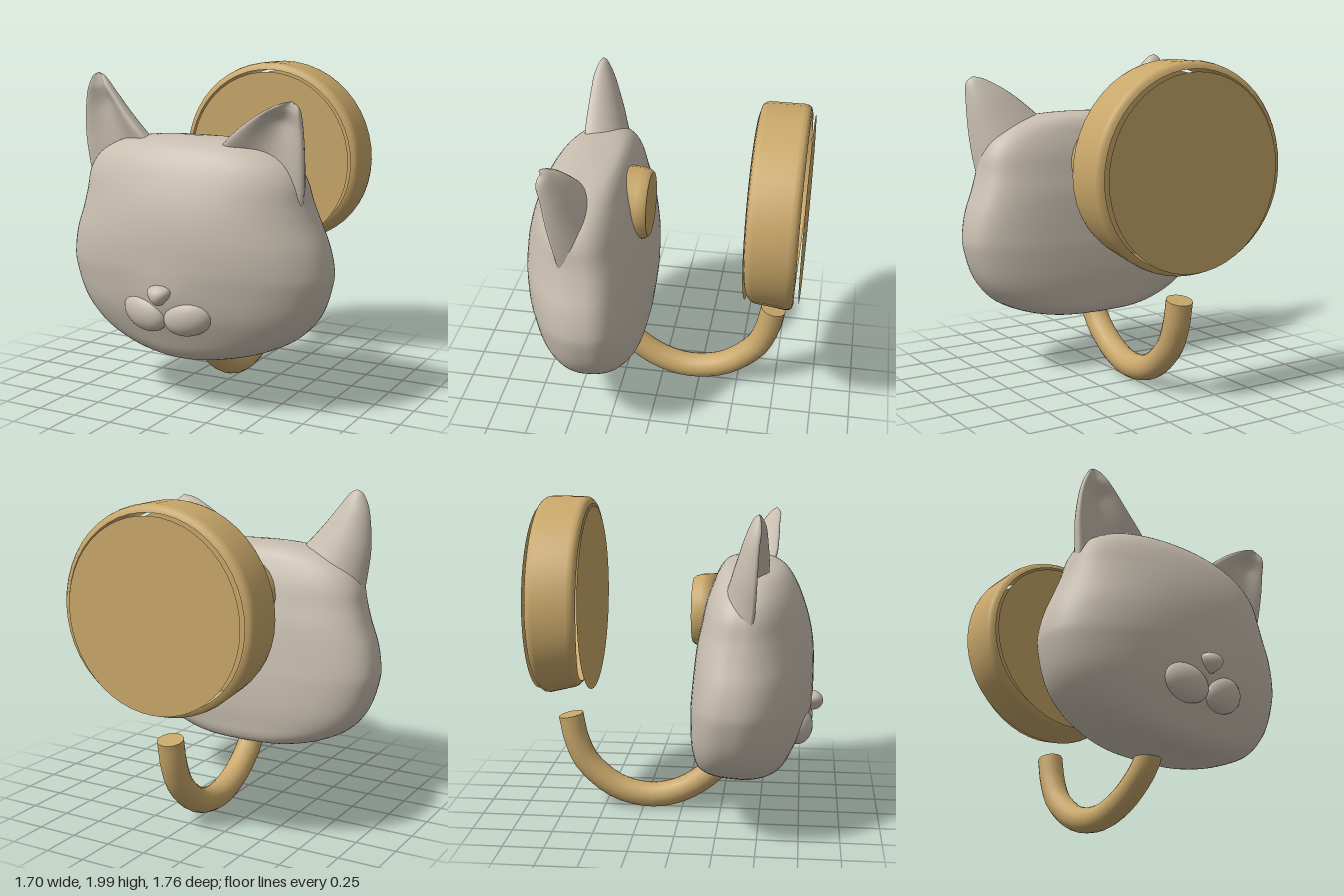
import * as THREE from 'three';

const fur = new THREE.MeshStandardMaterial({ color: 0xc8beb0 });
fur.name = 'warm grey';
const gold = new THREE.MeshStandardMaterial({ color: 0xc8a76a, side: THREE.DoubleSide });
gold.name = 'gold';

const V = (x, y, z) => new THREE.Vector3(x, y, z);
const curve = (pts) => new THREE.CatmullRomCurve3(pts.map((p) => V(...p)), false, 'catmullrom', 0.5);

function add(group, name, geometry, material, x = 0, y = 0, z = 0) {
  const mesh = new THREE.Mesh(geometry, material);
  mesh.name = name;
  mesh.position.set(x, y, z);
  group.add(mesh);
  return mesh;
}

// Smooth skin over closed rings; point(t, a) gives the surface position
function loft(rows, cols, point) {
  const pos = [], index = [];
  for (let r = 0; r <= rows; r++) {
    for (let c = 0; c < cols; c++) pos.push(...point(r / rows, (c / cols) * Math.PI * 2).toArray());
  }
  for (let r = 0; r < rows; r++) {
    for (let c = 0; c < cols; c++) {
      const a = r * cols + c, b = r * cols + ((c + 1) % cols);
      index.push(a, a + cols, b, b, a + cols, b + cols);
    }
  }
  const g = new THREE.BufferGeometry();
  g.setAttribute('position', new THREE.Float32BufferAttribute(pos, 3));
  g.setIndex(index);
  g.computeVertexNormals();
  return g;
}

// Head: horizontal sections [y, half width, front z, back z, z of widest point]
function headGeometry() {
  const s = [
    [0.31, 0, 0.42, 0.42, 0.42], [0.313, 0.22, 0.56, 0.22, 0.4],
    [0.33, 0.36, 0.61, 0.13, 0.38], [0.38, 0.52, 0.66, 0.1, 0.37],
    [0.47, 0.67, 0.705, 0.09, 0.37], [0.62, 0.785, 0.765, 0.078, 0.37],
    [0.8, 0.843, 0.8, 0.08, 0.37], [0.9, 0.847, 0.815, 0.088, 0.37],
    [1.03, 0.82, 0.82, 0.1, 0.38], [1.16, 0.77, 0.81, 0.115, 0.39],
    [1.28, 0.73, 0.785, 0.14, 0.41], [1.4, 0.7, 0.745, 0.165, 0.43],
    [1.5, 0.63, 0.7, 0.2, 0.44], [1.58, 0.49, 0.64, 0.24, 0.45],
    [1.62, 0.3, 0.56, 0.3, 0.45], [1.635, 0, 0.45, 0.45, 0.45],
  ];
  const size = curve(s.map((r) => [r[1], r[0], r[2]]));
  const depth = curve(s.map((r) => [r[3], r[4], 0]));
  return loft(60, 72, (t, a) => {
    const { x: w, y: h, z: front } = size.getPoint(t);
    const { x: back, y: mid } = depth.getPoint(t);
    const c = Math.cos(a), sn = Math.sin(a);
    const e = sn >= 0 ? 1 : 2 / 3; // round face, flatter back
    const x = w * Math.sign(c) * Math.abs(c) ** e;
    let z = sn >= 0 ? mid + (front - mid) * sn : mid - (mid - back) * Math.abs(sn) ** e;
    // soft swelling around the muzzle
    if (sn > 0) z += 0.025 * Math.exp(-((x / 0.2) ** 2) - ((h - 0.72) / 0.15) ** 2);
    // underside rises slightly towards the back
    const y = h + (0.55 - z) * 0.09 * (1 - THREE.MathUtils.smoothstep(h, 0.31, 0.6));
    return V(x, y, z);
  });
}

// Ear: crescent sections between two edge curves, hollow in front, full behind
function earGeometry(minusEdge, plusEdge, tip) {
  const A = curve([...minusEdge, tip]), B = curve([...plusEdge, tip]);
  return loft(32, 40, (t, a) => {
    const u = 1 - (1 - t) ** 1.4;
    const p = A.getPoint(u), q = B.getPoint(u);
    const half = q.clone().sub(p).multiplyScalar(0.5);
    const mid = p.add(q).multiplyScalar(0.5);
    const width = half.length();
    const n = V(-half.z, 0, half.x).normalize();
    const sn = Math.sin(a);
    const off = sn >= 0
      ? Math.min(0.06, width * 0.7) * sn - Math.min(0.1, width * 0.75) * sn ** 3
      : Math.min(0.21, width * 0.8) * sn;
    return mid.addScaledVector(half, Math.cos(a)).addScaledVector(n, off);
  });
}

export function createModel() {
  const model = new THREE.Group();
  model.name = 'catHeadHook';

  add(model, 'head', headGeometry(), fur);
  add(model, 'rightEar', earGeometry(
    [[-0.69, 1.25, 0.44], [-0.715, 1.45, 0.46], [-0.73, 1.63, 0.47], [-0.71, 1.83, 0.48], [-0.665, 1.95, 0.49]],
    [[-0.15, 1.48, 0.5], [-0.28, 1.62, 0.53], [-0.39, 1.74, 0.53], [-0.49, 1.86, 0.52], [-0.57, 1.955, 0.5]],
    [-0.62, 1.983, 0.49]), fur);
  add(model, 'leftEar', earGeometry(
    [[0.13, 1.48, 0.5], [0.27, 1.62, 0.56], [0.38, 1.715, 0.57], [0.49, 1.79, 0.57], [0.61, 1.85, 0.57]],
    [[0.71, 1.2, 0.46], [0.735, 1.38, 0.49], [0.745, 1.55, 0.52], [0.745, 1.7, 0.54], [0.735, 1.82, 0.56]],
    [0.69, 1.868, 0.56]), fur);

  // Muzzle pads and nose
  for (const side of [-1, 1]) {
    const pad = add(model, side < 0 ? 'rightMuzzlePad' : 'leftMuzzlePad',
      new THREE.SphereGeometry(1, 32, 20), fur, -0.01 + side * 0.145, 0.62, 0.74);
    pad.scale.set(0.155, 0.11, 0.08);
    pad.rotation.set(0.12, side * 0.2, side * 0.25);
  }
  const nose = new THREE.SphereGeometry(1, 32, 20);
  const np = nose.attributes.position;
  for (let i = 0; i < np.count; i++) {
    np.setX(i, np.getX(i) * (0.72 + 0.38 * np.getY(i))); // narrows downwards
  }
  nose.scale(0.09, 0.06, 0.065);
  nose.computeVertexNormals();
  add(model, 'nose', nose, fur, -0.015, 0.75, 0.82);

  // Small mounting disc on the back of the head
  const mount = new THREE.LatheGeometry(
    [[0, 0.16], [0.23, 0.16], [0.225, 0.06], [0.215, 0.02], [0.2, 0], [0.2, 0], [0, 0]]
      .map(([r, y]) => new THREE.Vector2(r, y)), 24);
  mount.rotateX(Math.PI / 2);
  add(model, 'mountingDisc', mount, gold, -0.01, 1.31, 0.073);

  // Large disc: open rounded band, receding at its lower front edge
  const band = new THREE.LatheGeometry(
    [[0.585, -0.15], [0.61, -0.143], [0.625, -0.125], [0.63, -0.1], [0.63, 0.1], [0.625, 0.125], [0.61, 0.143], [0.585, 0.15]]
      .map(([r, y]) => new THREE.Vector2(r, y)), 48);
  band.rotateX(Math.PI / 2);
  const bp = band.attributes.position;
  for (let i = 0; i < bp.count; i++) {
    const y = bp.getY(i), z = bp.getZ(i);
    if (y >= 0) continue;
    const k = (y / 0.63) ** 2, f = (z + 0.15) / 0.3;
    bp.setZ(i, z - k * (0.06 * f - 0.02 * (1 - f)));
    bp.setY(i, y + k * (0.03 + 0.06 * f));
  }
  band.computeVertexNormals();
  add(model, 'discBand', band, gold, 0, 1.37, -0.71);
  add(model, 'discFrontPlate', new THREE.CircleGeometry(0.57, 48), gold, 0, 1.37, -0.555);
  add(model, 'discBackPlate', new THREE.CircleGeometry(0.57, 48), gold, 0, 1.37, -0.88).rotation.y = Math.PI;

  // Hook under the head, with a flat end
  const path = curve([
    [-0.01, 0.5, 0.31], [-0.01, 0.35, 0.26], [-0.01, 0.24, 0.17], [-0.01, 0.13, 0],
    [-0.01, 0.085, -0.2], [-0.01, 0.135, -0.42], [-0.01, 0.28, -0.6],
    [-0.01, 0.44, -0.68], [-0.01, 0.61, -0.715]]);
  add(model, 'hook', new THREE.TubeGeometry(path, 24, 0.08, 16), gold);
  const end = add(model, 'hookEnd', new THREE.CircleGeometry(0.08, 16), gold);
  end.position.copy(path.getPoint(1));
  end.lookAt(end.position.clone().add(path.getTangent(1)));

  return model;
}
